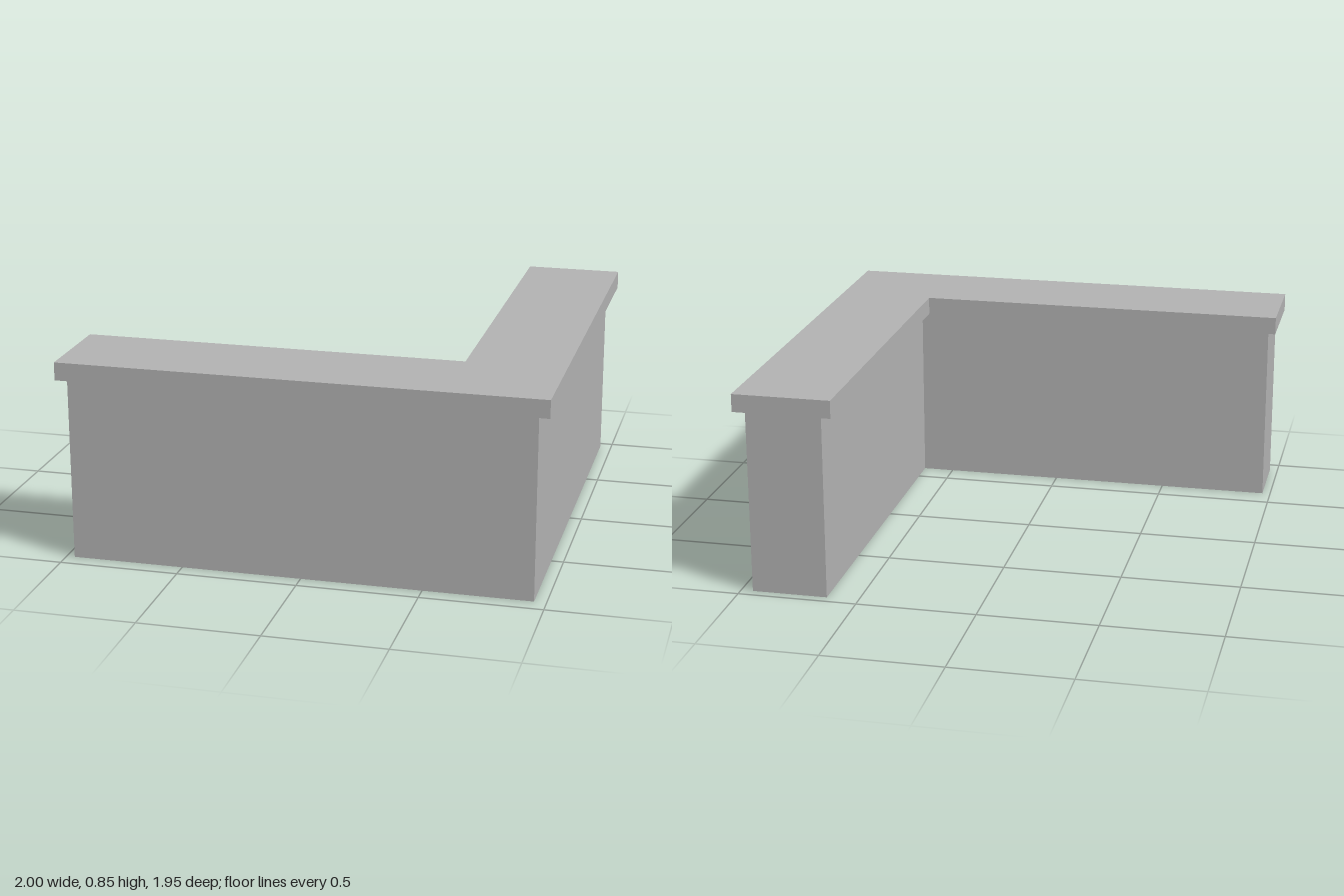
import * as THREE from 'three';

// L-shaped slab: outer corner at (+x, +z), arms running to -x and -z
function lSlab(name, { x0, x1, z0, z1, innerX, innerZ }, bottom, top, material) {
  const outline = new THREE.Shape([
    [x0, z1], [x0, innerZ], [innerX, innerZ], [innerX, z0], [x1, z0], [x1, z1],
  ].map(([x, z]) => new THREE.Vector2(x, z)));
  const geometry = new THREE.ExtrudeGeometry(outline, { depth: top - bottom, bevelEnabled: false });
  geometry.rotateX(Math.PI / 2); // outline y becomes z, depth runs downwards
  geometry.translate(0, top, 0);
  const mesh = new THREE.Mesh(geometry, material);
  mesh.name = name;
  return mesh;
}

export function createModel() {
  const group = new THREE.Group();
  group.name = 'cornerCounter';

  const grey = new THREE.MeshStandardMaterial({ color: 0xb2b2b2 });
  grey.name = 'grey';

  // Solid base
  group.add(lSlab('counterBase',
    { x0: -0.965, x1: 0.95, z0: -0.96, z1: 0.93, innerX: 0.634, innerZ: 0.61 }, 0, 0.775, grey));

  // Overhanging worktop
  group.add(lSlab('counterTop',
    { x0: -1, x1: 1, z0: -0.975, z1: 0.975, innerX: 0.59, innerZ: 0.566 }, 0.775, 0.85, grey));

  return group;
}
